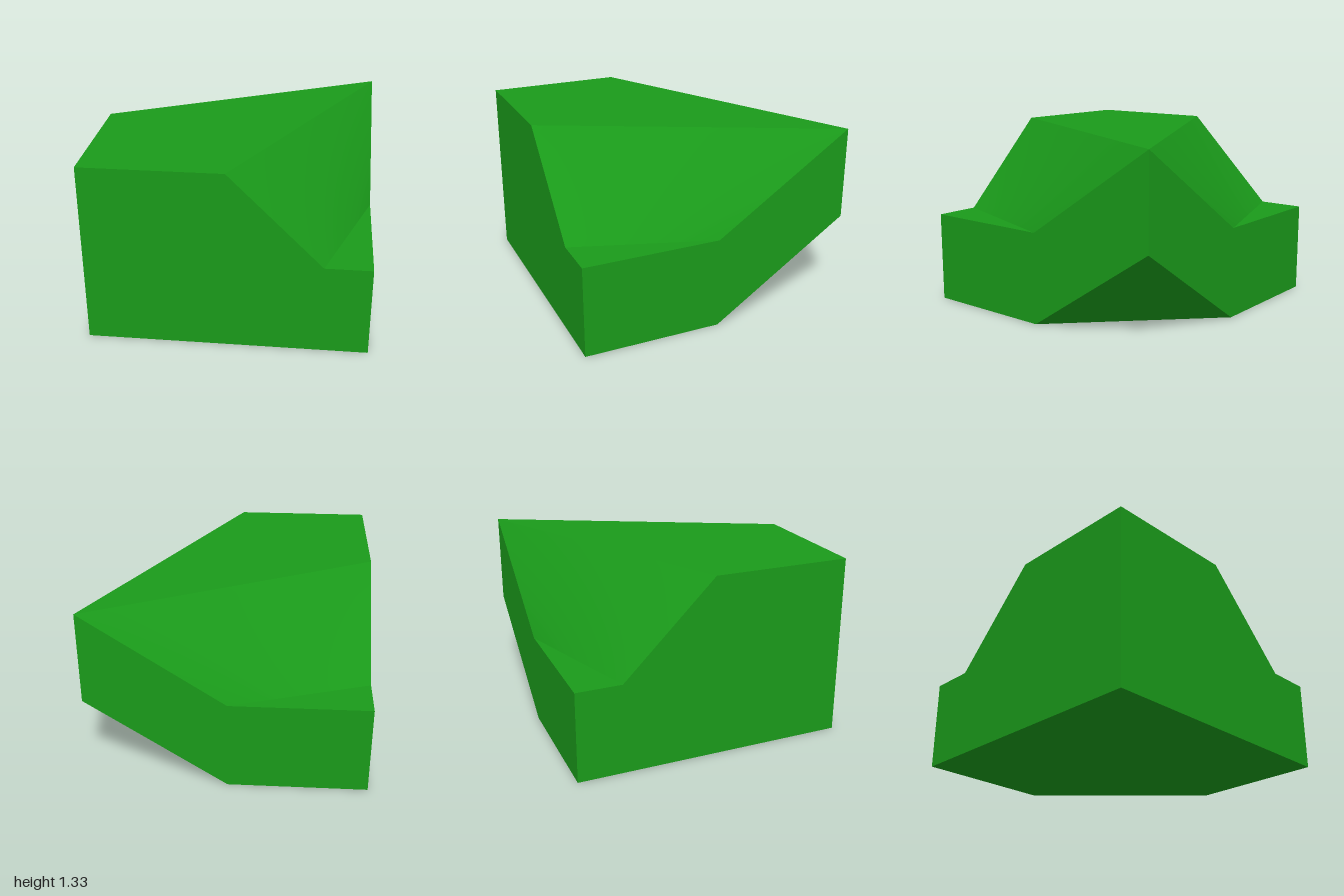
import * as THREE from 'three';

const H = 4 / 3, M = 2 / 3, Q = Math.PI / 2;

// Flat panel from a 2D outline; holds concave outlines too.
function panel(points) {
  return new THREE.ShapeGeometry(new THREE.Shape(points.map(([x, y]) => new THREE.Vector2(x, y))));
}

// Reflect across the vertical plane through the tall corner: (x, y, z) -> (-z, y, -x).
function mirrored(geometry) {
  const g = geometry.clone();
  g.applyMatrix4(new THREE.Matrix4().set(0, 0, -1, 0, 0, 1, 0, 0, -1, 0, 0, 0, 0, 0, 0, 1));
  const idx = g.index.array;
  for (let i = 0; i < idx.length; i += 3) [idx[i], idx[i + 1]] = [idx[i + 1], idx[i]];
  g.computeVertexNormals();
  return g;
}

// Twisted ruled surface between edge a-b (upper) and edge c-d (lower).
function ruled(a, b, c, d, n = 16) {
  const positions = [], index = [];
  for (let j = 0; j <= n; j++) {
    const start = a.clone().lerp(c, j / n), end = b.clone().lerp(d, j / n);
    for (let i = 0; i <= n; i++) {
      positions.push(...start.clone().lerp(end, i / n).toArray());
      if (i < n && j < n) {
        const k = j * (n + 1) + i, below = k + n + 1;
        index.push(k, below, k + 1, k + 1, below, below + 1);
      }
    }
  }
  const g = new THREE.BufferGeometry();
  g.setAttribute('position', new THREE.Float32BufferAttribute(positions, 3));
  g.setIndex(index);
  g.computeVertexNormals();
  return g;
}

export function createModel() {
  const group = new THREE.Group();
  const material = new THREE.MeshStandardMaterial({ color: 0x1a9a1a });
  const add = (name, geometry) => {
    const mesh = new THREE.Mesh(geometry, material);
    mesh.name = name;
    group.add(mesh);
  };
  const addPair = (nameA, nameB, geometry) => {
    add(nameA, geometry);
    add(nameB, mirrored(geometry));
  };
  const v = (x, y, z) => new THREE.Vector3(x, y, z);

  // Top plateau and base
  add('topPlateau', panel([[-1, -1], [0, -1], [1, 1], [-1, 0]]).rotateX(-Q).translate(0, H, 0));
  add('base', panel([[-1, 1], [1, 1], [1, 0], [0, -1], [-1, -1]]).rotateX(Q));

  // Tall walls: front and right
  addPair('frontWall', 'rightWall',
    panel([[-1, 0], [1, 0], [1, M], [M, M], [0, H], [-1, H]]).translate(0, 0, 1));

  // Walls rising to the tall corner: left and back
  addPair('leftWall', 'backWall',
    panel([[-1, 0], [0, 0], [1, M], [1, H], [0, M], [-1, M]]).rotateY(Q).translate(1, 0, 0));

  // Twisted slopes down to the ledges
  addPair('leftSlope', 'backSlope', ruled(v(0, H, 1), v(1, H, -1), v(M, M, 1), v(1, M, 0)));

  // Low triangular ledges
  addPair('leftLedge', 'backLedge',
    panel([[M, -1], [1, -1], [1, 0]]).rotateX(-Q).translate(0, M, 0));

  // Slanted underside below the tall corner
  const under = new THREE.BufferGeometry().setFromPoints([v(1, 0, 0), v(0, 0, -1), v(1, M, -1)]);
  under.computeVertexNormals();
  add('undercut', under);

  return group;
}
